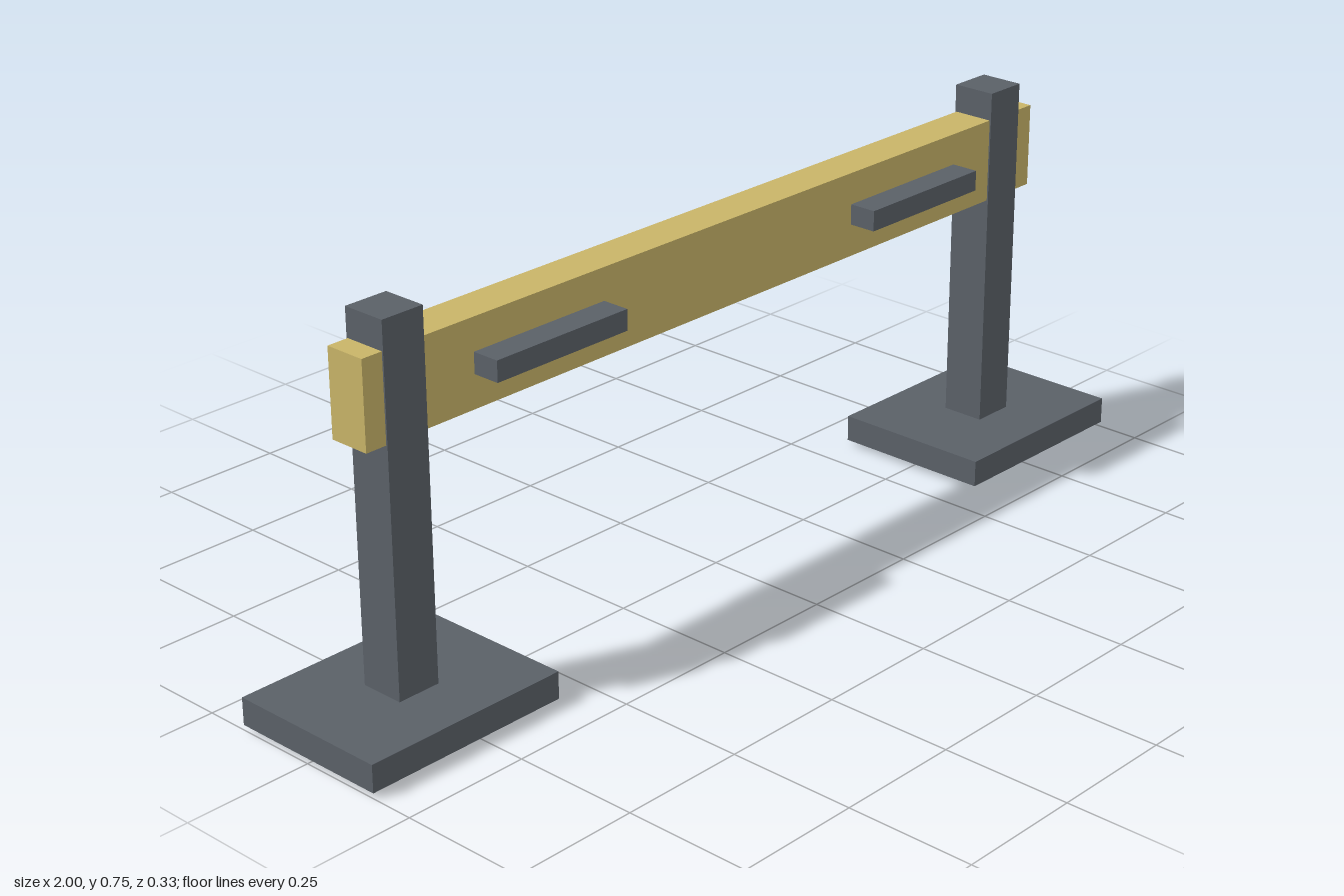
import * as THREE from 'three';

const steel = new THREE.MeshStandardMaterial({ color: 0x5a6067 });
steel.name = 'dark grey steel';
const wood = new THREE.MeshStandardMaterial({ color: 0xc8b468 });
wood.name = 'pale tan rail';

// Box given by its extents along each axis
function box(name, material, [x0, x1], [y0, y1], [z0, z1]) {
  const mesh = new THREE.Mesh(new THREE.BoxGeometry(x1 - x0, y1 - y0, z1 - z0), material);
  mesh.position.set((x0 + x1) / 2, (y0 + y1) / 2, (z0 + z1) / 2);
  mesh.name = name;
  return mesh;
}

export function createModel() {
  const model = new THREE.Group();
  model.name = 'barrier';

  // Long rail passing through both posts
  model.add(box('rail', wood, [-0.875, 0.875], [0.535, 0.7], [-0.041, 0.041]));

  // Foot plate, post and front grip on each side
  for (const [side, s] of [['left', 1], ['right', -1]]) {
    const span = (a, b) => (s > 0 ? [a, b] : [-b, -a]);
    model.add(
      box(side + 'FootPlate', steel, span(0.577, 1), [0.01, 0.063], [-0.164, 0.164]),
      box(side + 'Post', steel, span(0.744, 0.832), [0, 0.755], [-0.044, 0.044]),
      box(side + 'Grip', steel, span(0.328, 0.634), [0.598, 0.638], [0.04, 0.096]),
    );
  }
  return model;
}
